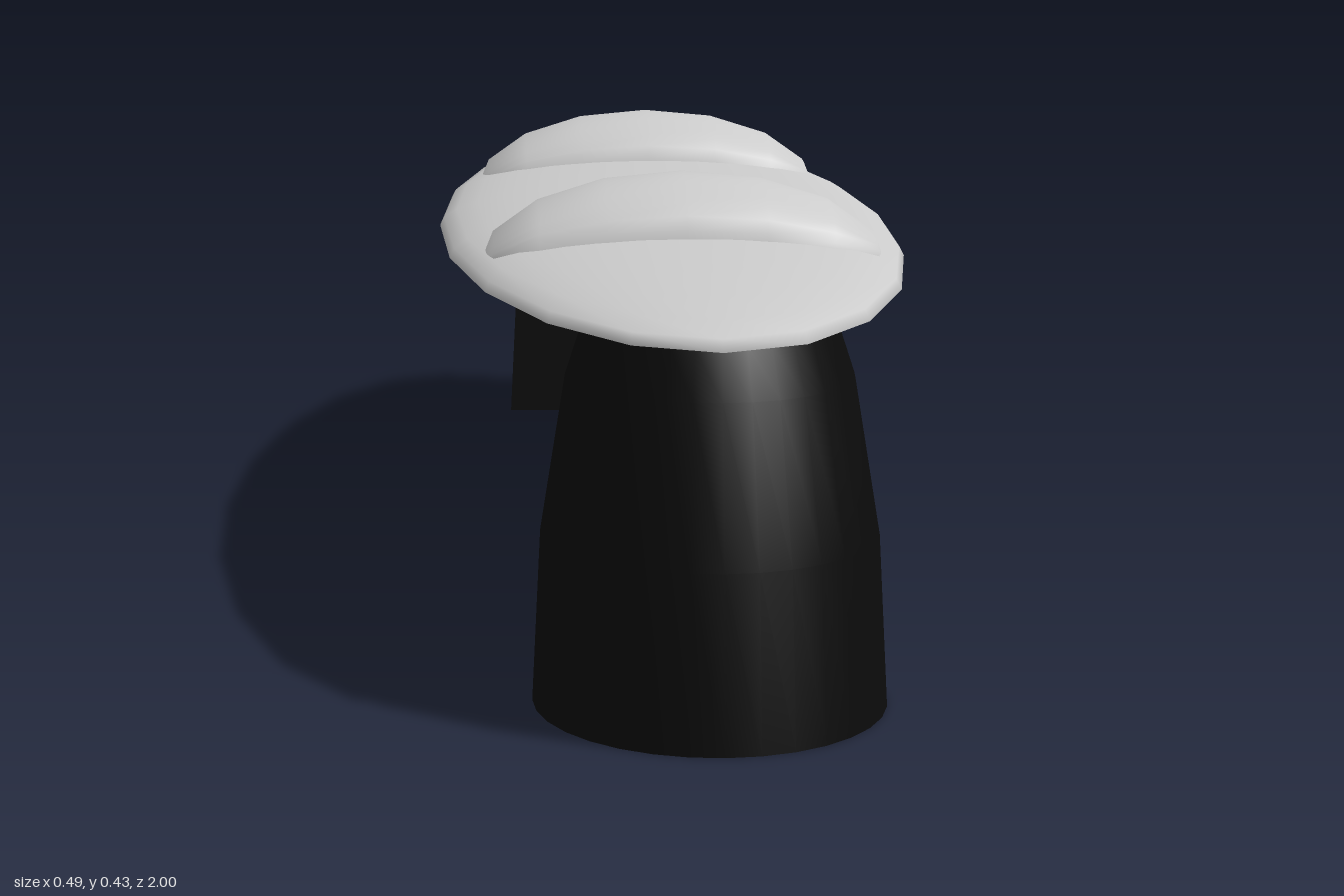
import * as THREE from 'three';
import { toCreasedNormals } from 'three/addons/utils/BufferGeometryUtils.js';

const BASE = 0.337; // underside of the grip plate

export function createModel() {
  const group = new THREE.Group();
  const grey = new THREE.MeshStandardMaterial({ color: 0xcccccc });
  const black = new THREE.MeshStandardMaterial({ color: 0x0b0b0b });

  const add = (name, geometry, material, parent = group) => {
    const mesh = new THREE.Mesh(geometry, material);
    mesh.name = name;
    parent.add(mesh);
    return mesh;
  };

  // Shallow domed plate with a flat underside
  const dome = new THREE.SphereGeometry(1, 20, 8, 0, Math.PI * 2, 0, Math.PI / 2);
  dome.scale(0.243, 0.046, 0.965);
  add('plateTop', dome, grey).position.y = BASE;
  const under = new THREE.CircleGeometry(1, 20);
  under.rotateX(Math.PI / 2);
  under.scale(0.243, 1, 0.965);
  add('plateUnderside', under, grey).position.y = BASE;

  // Rounded ridges arching across the plate
  const ridgeGeometry = () => {
    const g = new THREE.PlaneGeometry(2, 2, 8, 14);
    const p = g.attributes.position;
    for (let i = 0; i < p.count; i++) {
      const t = p.getX(i) * Math.PI / 2;
      const s = p.getY(i) * Math.PI / 2;
      const width = 0.098 * Math.pow(Math.max(0, 1 - Math.sin(t) ** 4), 0.25);
      const low = 0.034 * Math.cos(t);
      const high = 0.096 * Math.cos(t);
      p.setXYZ(i, 0.203 * Math.sin(t), low + (high - low) * Math.cos(s), -width * Math.sin(s));
    }
    g.computeVertexNormals();
    return g;
  };
  for (const [name, z] of [['frontRidge', 0.39], ['backRidge', -0.361]]) {
    add(name, ridgeGeometry(), grey).position.set(0, BASE, z);
  }

  // Legs: half-round posts tapering upwards, flat on the inner side
  const outline = [0, 18, 36].map((deg) => {
    const a = THREE.MathUtils.degToRad(deg);
    return new THREE.Vector2(Math.cos(a), 0.5 * Math.sin(a));
  });
  outline.push(new THREE.Vector2(0.72, BASE));
  const profile = [new THREE.Vector2(0, 0), ...outline, new THREE.Vector2(0, BASE)];
  const inner = new THREE.Shape([
    ...outline,
    ...outline.map((v) => new THREE.Vector2(-v.x, v.y)).reverse(),
  ]);
  for (const [name, turn] of [['frontLeg', 0], ['backLeg', Math.PI]]) {
    const leg = new THREE.Group();
    leg.name = name;
    leg.rotation.y = turn;
    group.add(leg);
    const post = new THREE.LatheGeometry(profile, 16, -Math.PI / 2, Math.PI);
    post.scale(0.158, 1, 0.21);
    add('legOuter', toCreasedNormals(post, 0.7), black, leg).position.z = 0.79;
    const face = new THREE.ShapeGeometry(inner);
    face.rotateY(Math.PI);
    face.scale(0.158, 1, 1);
    add('legInnerFace', face, black, leg).position.z = 0.79;
  }

  return group;
}
